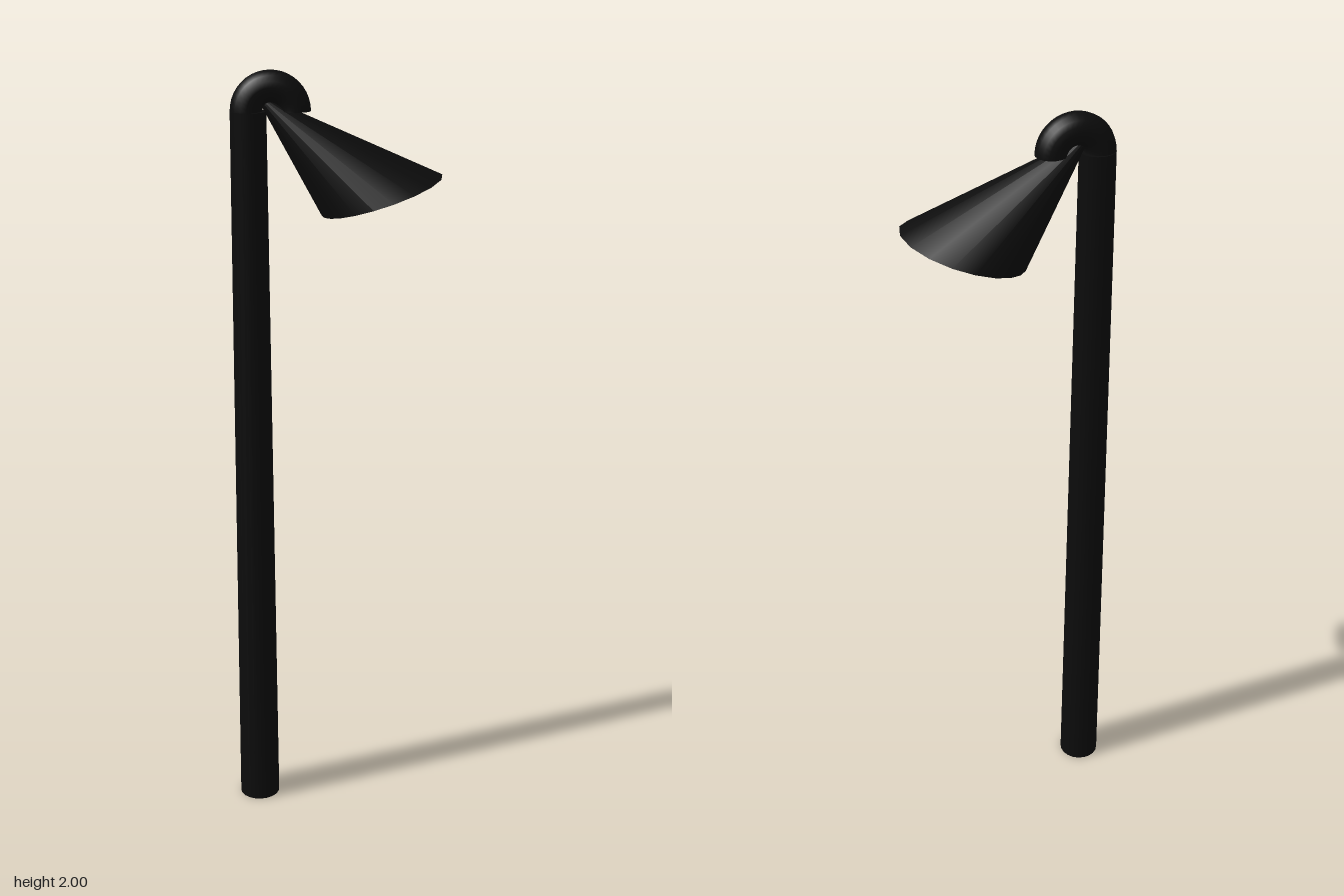
import * as THREE from 'three';

export function createModel() {
  const group = new THREE.Group();
  const black = new THREE.MeshStandardMaterial({ color: 0x0c0c0c });
  black.name = 'black';

  const add = (name, geometry, x = 0, y = 0) => {
    const mesh = new THREE.Mesh(geometry, black);
    mesh.name = name;
    mesh.position.set(x, y, 0);
    group.add(mesh);
    return mesh;
  };

  // Tapered pole
  add('pole', new THREE.CylinderGeometry(0.045, 0.054, 1.9, 20), -0.216, 0.95);

  // Half-ring arch, with its open end closed by a disc
  add('arch', new THREE.TorusGeometry(0.06, 0.04, 16, 20, Math.PI), -0.161, 1.9);
  add('archEnd', new THREE.CircleGeometry(0.04, 16), -0.101, 1.9).rotation.x = Math.PI / 2;

  // Leaning cone shade: tip inside the arch, round mouth tilted outward
  const shade = new THREE.ConeGeometry(1, 1, 20, 1);
  const apex = new THREE.Vector3(-0.202, 1.948, 0);
  const mouth = new THREE.Vector3(0.117, 1.69, 0);
  const across = new THREE.Vector3(0.152, 0.05, 0);
  const p = shade.attributes.position;
  const v = new THREE.Vector3();
  for (let i = 0; i < p.count; i++) {
    const h = p.getY(i) + 0.5;
    const r = Math.hypot(p.getX(i), p.getZ(i));
    const t = Math.atan2(p.getZ(i), p.getX(i));
    const a = t + 0.25 * Math.sin(t); // sides bunch toward the pole
    v.copy(mouth).lerp(apex, h).addScaledVector(across, r * Math.cos(a));
    p.setXYZ(i, v.x, v.y, 0.161 * r * Math.sin(a));
  }
  shade.computeVertexNormals();
  add('shade', shade);

  return group;
}
